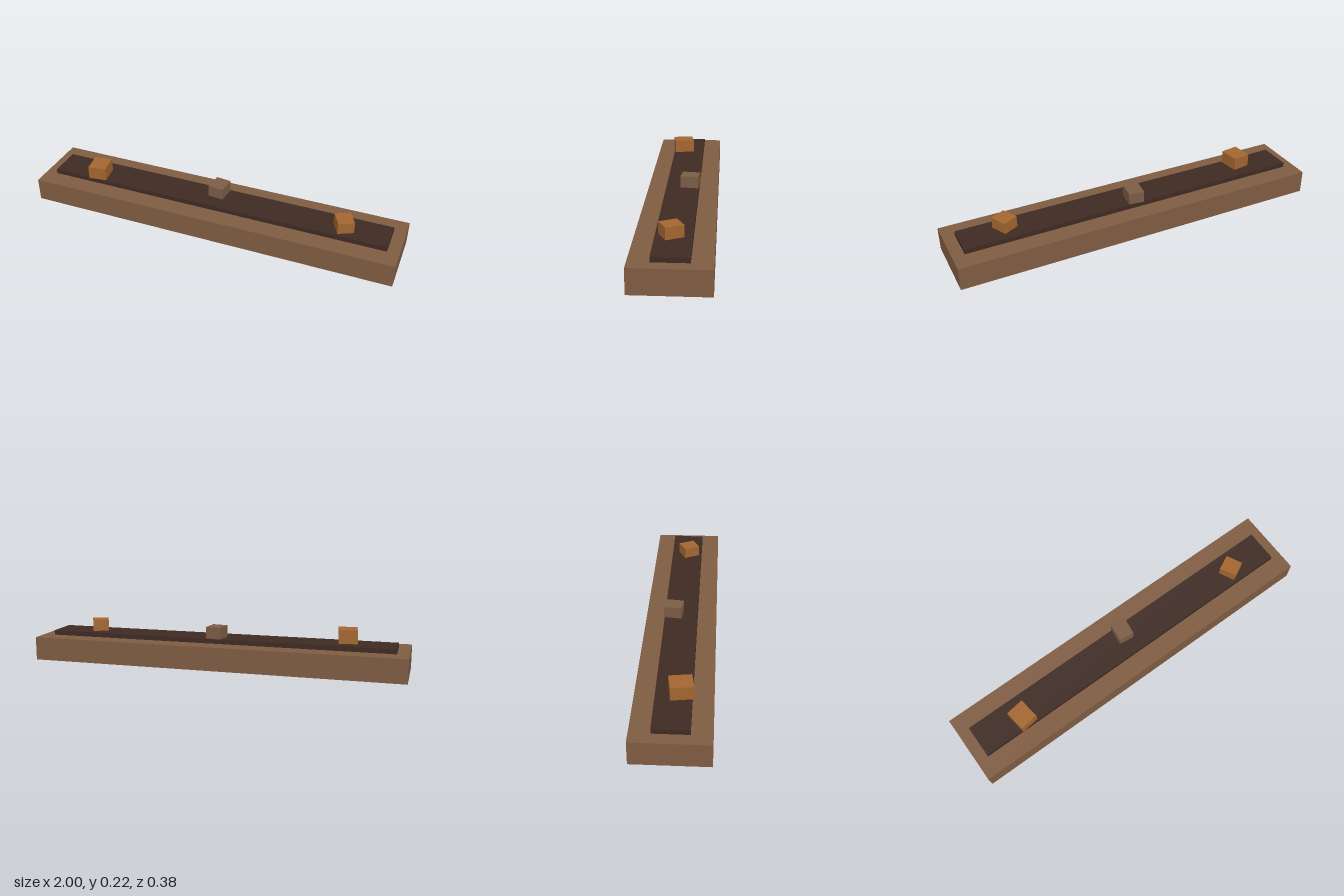
import * as THREE from 'three';

const material = (name, color, side = THREE.FrontSide) => {
  const m = new THREE.MeshStandardMaterial({ color, side });
  m.name = name;
  return m;
};

// Box standing on y = 0, optionally without its underside
function standingBox(w, h, d, open) {
  const geo = new THREE.BoxGeometry(w, h, d).translate(0, h / 2, 0);
  if (open) {
    const index = Array.from(geo.index.array);
    index.splice(18, 6);
    geo.setIndex(index);
    geo.clearGroups();
  }
  return geo;
}

export function createModel() {
  const group = new THREE.Group();
  const wood = material('wood brown', 0x7f5c42, THREE.DoubleSide);
  const soil = material('dark soil', 0x3e2a23);
  const orange = material('orange brown', 0xa3662f);
  const dull = material('dull brown', 0x7b5d45);

  const add = (name, geo, mat, x, y, z, turn = 0) => {
    const mesh = new THREE.Mesh(geo, mat);
    mesh.name = name;
    mesh.position.set(x, y, z);
    mesh.rotation.y = turn;
    group.add(mesh);
  };

  // Hollow base, open underneath, with a raised bed on top
  add('base', standingBox(2, 0.125, 0.375, true), wood, 0, 0, 0);
  add('soilBed', standingBox(1.875, 0.025, 0.175, true), soil, 0, 0.125, 0);

  // Loose blocks: name, width, height, depth, colour, x, z, turn
  const blocks = [
    ['leftBlock', 0.085, 0.06, 0.092, orange, 0.699, 0.0125, 0.46],
    ['middleBlock', 0.083, 0.062, 0.096, dull, 0.002, -0.04, -0.12],
    ['rightBlock', 0.097, 0.07, 0.111, orange, -0.682, 0.033, 0.14],
  ];
  for (const [name, w, h, d, mat, x, z, turn] of blocks) {
    add(name, standingBox(w, h, d, false), mat, x, 0.15, z, turn);
  }
  return group;
}
